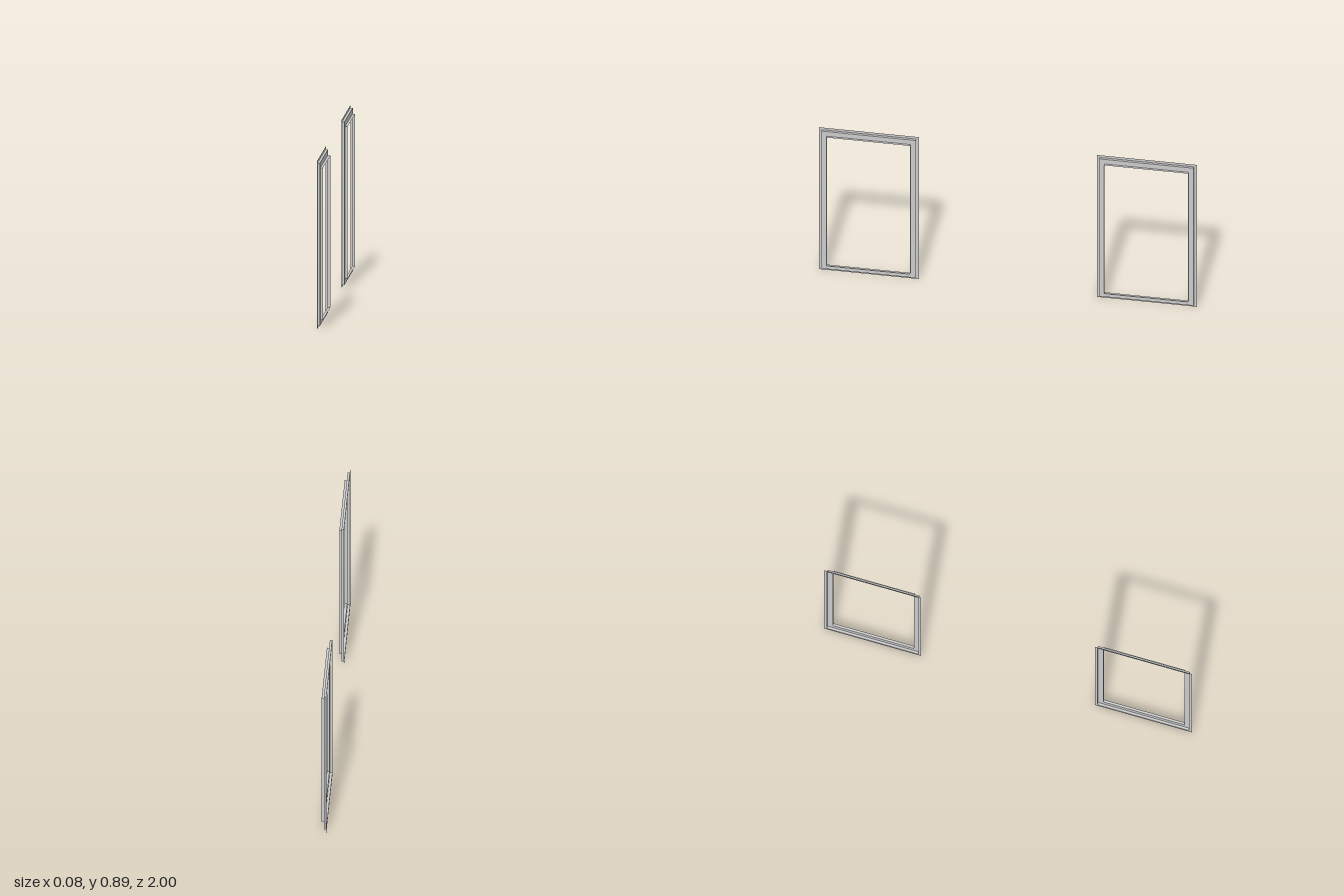
import * as THREE from 'three';

const HEIGHT = 0.886, WIDTH = 0.528, STEP = 0.0134;
const TILT = 0.0265; // slight turn about the vertical axis

// Stepped sheet profile: [inset from the outer edge, depth towards +x]
const PROFILE = [[0, 0], [0.014, 0], [0.014, STEP], [0.0425, STEP], [0.0425, 2 * STEP]];
const PARTS = ['outerFlange', 'outerStep', 'frameFace', 'innerLip'];

// Four corners of the rectangle at one profile point
function corners([inset, depth]) {
  const z = WIDTH / 2 - inset, lo = inset, hi = HEIGHT - inset;
  return [[depth, lo, z], [depth, lo, -z], [depth, hi, -z], [depth, hi, z]];
}

// Rectangular band joining two profile points, with mitred corners
function band(from, to) {
  const a = corners(from), b = corners(to), pos = [];
  for (let i = 0; i < 4; i++) {
    const j = (i + 1) % 4;
    pos.push(...a[i], ...a[j], ...b[j], ...a[i], ...b[j], ...b[i]);
  }
  const geometry = new THREE.BufferGeometry();
  geometry.setAttribute('position', new THREE.Float32BufferAttribute(pos, 3));
  geometry.computeVertexNormals();
  return geometry;
}

export function createModel() {
  const model = new THREE.Group();
  model.name = 'windowFrames';
  const material = new THREE.MeshStandardMaterial({ color: 0xcccccc, side: THREE.DoubleSide });

  // Two frames in one slightly turned plane, both stepping out towards +x
  for (const [name, side] of [['frontFrame', 1], ['backFrame', -1]]) {
    const frame = new THREE.Group();
    frame.name = name;
    PARTS.forEach((part, i) => {
      const mesh = new THREE.Mesh(band(PROFILE[i], PROFILE[i + 1]), material);
      mesh.name = part;
      frame.add(mesh);
    });
    frame.position.set(-STEP + side * 0.736 * TILT, 0, side * 0.736);
    frame.rotation.y = Math.atan(TILT);
    model.add(frame);
  }
  return model;
}
